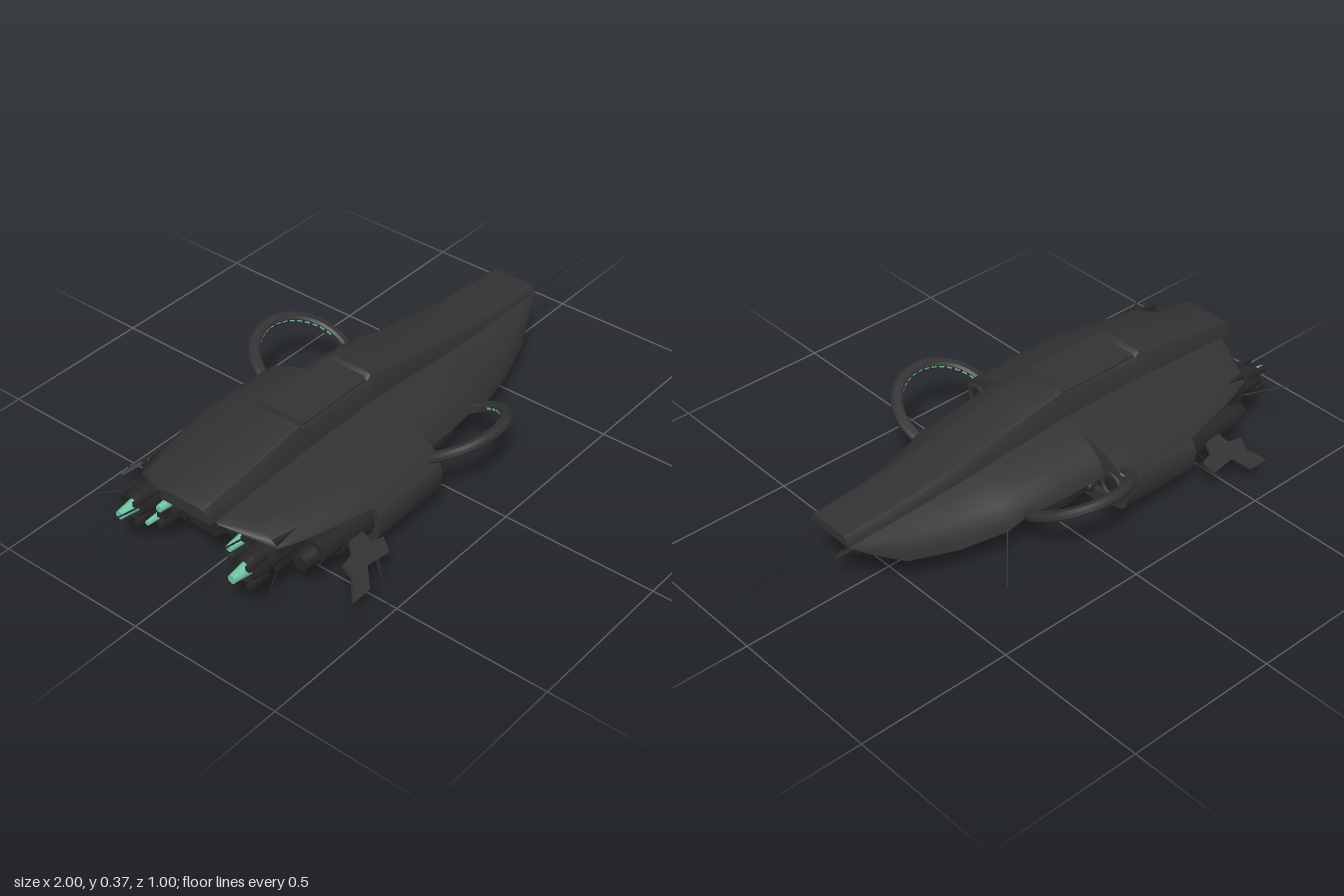
import * as THREE from 'three';
import { toCreasedNormals } from 'three/addons/utils/BufferGeometryUtils.js';

const mat = (name, color) => new THREE.MeshStandardMaterial({ name, color, side: THREE.DoubleSide });

// Surface through cross-sections, each a list of [x, y, z] points
function loft(sections, closed = false) {
  const n = sections[0].length, pos = sections.flat(2), idx = [];
  for (let i = 0; i < sections.length - 1; i++)
    for (let j = 0; j < (closed ? n : n - 1); j++) {
      const a = i * n + j, b = i * n + (j + 1) % n;
      idx.push(a, a + n, b, b, a + n, b + n);
    }
  if (closed) for (const s of [0, sections.length - 1])
    for (let j = 1; j < n - 1; j++)
      idx.push(s * n, s * n + (s ? j + 1 : j), s * n + (s ? j : j + 1));
  const g = new THREE.BufferGeometry();
  g.setAttribute('position', new THREE.Float32BufferAttribute(pos, 3));
  g.setIndex(idx);
  return toCreasedNormals(g, 0.6);
}

export function createModel() {
  const model = new THREE.Group();
  model.name = 'spaceship';
  const hull = mat('hull charcoal', 0x323232);
  const dark = mat('machinery black', 0x262626);
  const teal = mat('teal glow', 0x6fc3a4);

  const add = (parent, name, geo, material, p = [0, 0, 0]) => {
    const m = new THREE.Mesh(geo, material);
    m.name = name;
    m.position.set(...p);
    parent.add(m);
    return m;
  };
  // Cylinder lying along x; r0 at the rear end, r1 at the front end
  const tube = (parent, name, x0, x1, r0, r1, y, z, material, open = false) =>
    add(parent, name, new THREE.CylinderGeometry(r1, r0, x1 - x0, 20, 1, open).rotateZ(-Math.PI / 2),
      material, [(x0 + x1) / 2, y, z]);
  const box = (parent, name, x0, x1, y0, y1, z0, z1, material) =>
    add(parent, name, new THREE.BoxGeometry(x1 - x0, y1 - y0, z1 - z0), material,
      [(x0 + x1) / 2, (y0 + y1) / 2, (z0 + z1) / 2]);
  // Thin rod between two points
  const rod = (parent, name, a, b, r = 0.0028) => {
    const A = new THREE.Vector3(...a), B = new THREE.Vector3(...b), d = B.clone().sub(A);
    const m = add(parent, name, new THREE.CylinderGeometry(r * 0.7, r, d.length(), 6), dark);
    m.position.copy(A).add(B).multiplyScalar(0.5);
    m.quaternion.setFromUnitVectors(new THREE.Vector3(0, 1, 0), d.normalize());
  };

  // Central spine: [x, half width, side bottom, top]
  const spineSection = ([x, w, b, t]) => {
    const h = t - b;
    const half = [[1, 0], [0.97, 0.35], [0.9, 0.75], [0.82, 0.93], [0.7, 1]];
    return [...half.map(([u, v]) => [x, b + v * h, u * w]),
      ...half.reverse().map(([u, v]) => [x, b + v * h, -u * w])];
  };
  const spine = [[-0.79, 0.088, 0.27, 0.31], [-0.76, 0.09, 0.262, 0.32], [-0.6, 0.093, 0.27, 0.342],
    [-0.41, 0.097, 0.285, 0.373], [-0.395, 0.097, 0.285, 0.36], [-0.115, 0.097, 0.285, 0.362],
    [-0.1, 0.097, 0.285, 0.375], [0, 0.096, 0.28, 0.358], [0.2, 0.093, 0.262, 0.321],
    [0.4, 0.09, 0.248, 0.288], [0.55, 0.088, 0.242, 0.275], [0.7, 0.085, 0.236, 0.265]];
  add(model, 'spine', loft(spine.map(spineSection), true), hull);

  // Canopy panel with a pointed front edge
  const canopy = new THREE.Shape([[-0.39, -0.078], [-0.12, -0.078], [-0.1, -0.05], [-0.088, 0],
    [-0.1, 0.05], [-0.12, 0.078], [-0.39, 0.078]].map(p => new THREE.Vector2(...p)));
  add(model, 'canopy', new THREE.ExtrudeGeometry(canopy, { depth: 0.008, bevelEnabled: false })
    .rotateX(-Math.PI / 2), hull, [0, 0.358, 0]);

  // Keel under the spine: [x, half width, bottom, top]
  const keel = [[-0.72, 0.07, 0.16, 0.27], [-0.6, 0.1, 0.125, 0.27], [-0.4, 0.11, 0.105, 0.28],
    [-0.1, 0.1, 0.1, 0.28], [0.25, 0.085, 0.105, 0.26], [0.39, 0.065, 0.11, 0.245], [0.41, 0.05, 0.14, 0.24]];
  add(model, 'keel', loft(keel.map(([x, w, b, t]) => [[x, t, w], [x, b + 0.03, w], [x, b, w * 0.7],
    [x, b, -w * 0.7], [x, b + 0.03, -w], [x, t, -w]]), true), dark);

  // Nose frame, gun and sensor ball
  box(model, 'noseFrame', 0.38, 0.56, 0.145, 0.242, -0.052, 0.052, dark);
  box(model, 'nosePanel', 0.56, 0.568, 0.165, 0.228, -0.034, 0.034, hull);
  for (const s of [-1, 1]) box(model, 'noseFrameRib', 0.55, 0.58, 0.15, 0.24, s * 0.047 - 0.006, s * 0.047 + 0.006, hull);
  box(model, 'gunMount', 0.52, 0.62, 0.125, 0.155, -0.018, 0.018, dark);
  tube(model, 'gunBarrel', 0.58, 0.69, 0.012, 0.009, 0.14, 0, dark);
  rod(model, 'sensorStalk', [0.495, 0.1, 0], [0.495, 0.15, 0], 0.007);
  add(model, 'sensorBall', new THREE.SphereGeometry(0.018, 16, 12), dark, [0.495, 0.097, 0]);

  // Single nose antennae
  rod(model, 'noseAntenna', [0.55, 0.22, 0.065], [1, 0.22, 0.065]);
  rod(model, 'noseProbe', [0.5, 0.19, -0.04], [0.715, 0.19, -0.04]);

  // One side, mirrored below
  const side = new THREE.Group();
  side.name = 'leftSide';

  // Wing skin: [x, inner z, inner y, outer z, outer y]
  const wing = [[-0.765, 0.085, 0.265, 0.1, 0.26], [-0.7, 0.09, 0.268, 0.255, 0.215],
    [-0.6, 0.09, 0.275, 0.285, 0.207], [-0.4, 0.093, 0.29, 0.33, 0.2], [-0.1, 0.093, 0.292, 0.335, 0.185],
    [-0.095, 0.093, 0.292, 0.268, 0.175], [0.05, 0.091, 0.28, 0.258, 0.165], [0.19, 0.09, 0.267, 0.246, 0.165],
    [0.25, 0.089, 0.262, 0.236, 0.138], [0.4, 0.086, 0.252, 0.198, 0.13], [0.55, 0.084, 0.246, 0.15, 0.145],
    [0.64, 0.081, 0.243, 0.112, 0.195], [0.7, 0.078, 0.24, 0.083, 0.237]];
  add(side, 'wingSkin', loft(wing.map(([x, zi, yi, zo, yo]) => [0, 0.2, 0.4, 0.6, 0.78, 0.91, 1].map(t =>
    [x, yi + (yo - yi) * (0.65 * t + 0.35 * t ** 4), zi + (zo - zi) * Math.sin(t * 1.25) / Math.sin(1.25)]))), hull);

  // Side pod: hooked shell with machinery inside (outline as z, y)
  const podPts = [[0.1, 0.05], [0.22, 0.047], [0.33, 0.08], [0.347, 0.105], [0.352, 0.16], [0.34, 0.19],
    [0.3, 0.218], [0.2, 0.25], [0.2, 0.235], [0.29, 0.2], [0.325, 0.175], [0.33, 0.13], [0.315, 0.105],
    [0.22, 0.088], [0.1, 0.09], [0.094, 0.07]];
  const pod = new THREE.Shape(podPts.map(([z, y]) => new THREE.Vector2(-z, y)));
  add(side, 'podShell', toCreasedNormals(new THREE.ExtrudeGeometry(pod, { depth: 0.28, bevelEnabled: false })
    .rotateY(Math.PI / 2), 0.6), hull, [-0.39, 0, 0]);
  box(side, 'podCore', -0.4, -0.13, 0.08, 0.215, 0.1, 0.3, dark);
  tube(side, 'podTurbine', -0.6, -0.1, 0.038, 0.045, 0.155, 0.29, dark);
  add(side, 'turbineRim', new THREE.TorusGeometry(0.038, 0.008, 8, 24).rotateY(Math.PI / 2), hull, [-0.1, 0.155, 0.29]);
  tube(side, 'turbineCollar', -0.52, -0.4, 0.05, 0.055, 0.15, 0.285, dark);
  tube(side, 'turbineTail', -0.65, -0.58, 0.024, 0.034, 0.15, 0.285, dark);
  for (const z of [0.12, 0.19]) {
    tube(side, 'podPipe', -0.36, -0.11, 0.018, 0.018, 0.085, z, dark);
    add(side, 'podPipeCap', new THREE.SphereGeometry(0.018, 14, 10), dark, [-0.11, 0.085, z]);
  }

  // Long nacelle beside the keel
  tube(side, 'nacelle', -0.55, 0.25, 0.05, 0.046, 0.15, 0.145, dark);
  add(side, 'nacelleCap', new THREE.SphereGeometry(0.046, 20, 12).scale(1.6, 1, 1), dark, [0.25, 0.15, 0.145]);
  for (const x of [-0.05, 0.08, 0.2])
    add(side, 'nacelleBand', new THREE.TorusGeometry(0.047, 0.006, 6, 24).rotateY(Math.PI / 2), dark, [x, 0.15, 0.145]);
  box(side, 'rearBlock', -0.7, -0.4, 0.135, 0.235, 0.09, 0.25, dark);

  // Engines: [rear x, front x, radius, y, z]
  for (const [x0, x1, r, y, z] of [[-0.79, -0.62, 0.044, 0.175, 0.208], [-0.715, -0.55, 0.036, 0.19, 0.13],
    [-0.73, -0.6, 0.026, 0.13, 0.165]]) {
    tube(side, 'engine', x0 + 0.03, x1, r, r, y, z, dark);
    tube(side, 'engineNozzle', x0, x0 + 0.05, r * 0.8, r * 0.95, y, z, dark, true);
    tube(side, 'engineGlow', x0 - 0.045, x0 + 0.03, r * 0.3, r * 0.5, y, z, teal);
    for (let k = 0; k < 4; k++) {
      const a = k * Math.PI / 2 + Math.PI / 4;
      box(side, 'nozzleFlap', x0 - 0.015, x0 + 0.06, y + Math.sin(a) * r - 0.008, y + Math.sin(a) * r + 0.008,
        z + Math.cos(a) * r - 0.008, z + Math.cos(a) * r + 0.008, dark);
    }
  }

  // Tilted ring with a lit inner lining
  const ring = new THREE.Group();
  ring.name = 'ring';
  ring.position.set(0.03, 0.187, 0.285);
  ring.rotation.x = -0.45;
  const profile = [[0.142, -0.01], [0.15, -0.016], [0.168, -0.014], [0.176, -0.005], [0.176, 0.005],
    [0.168, 0.014], [0.15, 0.016], [0.142, 0.01], [0.142, -0.01]].map(p => new THREE.Vector2(...p));
  add(ring, 'ringBody', toCreasedNormals(new THREE.LatheGeometry(profile, 64), 0.6), hull);
  for (let k = 0; k < 17; k++) {
    const a = (k / 16 - 0.5) * 2.8;
    add(ring, 'ringLight', new THREE.BoxGeometry(0.016, 0.006, 0.002), teal,
      [Math.sin(a) * 0.1415, 0.003, Math.cos(a) * 0.1415]).rotation.y = a;
  }
  side.add(ring);
  // Housing where the ring enters the hull
  add(side, 'ringHousing', new THREE.CylinderGeometry(0.13, 0.14, 0.06, 32).scale(1.1, 1, 0.55), dark, [0.03, 0.15, 0.165]);

  // Drooping notched fin (outline as x, distance along the slope)
  const fin = new THREE.Shape([[-0.5, 0], [-0.52, 0.04], [-0.57, 0.05], [-0.565, 0.09], [-0.61, 0.145],
    [-0.54, 0.145], [-0.5, 0.09], [-0.415, 0.1], [-0.4, 0.055], [-0.44, 0.045], [-0.45, 0]]
    .map(p => new THREE.Vector2(...p)));
  add(side, 'fin', new THREE.ExtrudeGeometry(fin, { depth: 0.01, bevelEnabled: false })
    .rotateX(Math.PI / 2 + 0.72), hull, [0, 0.162, 0.33]);

  // Antennae
  rod(side, 'rearAntenna', [-0.68, 0.2, 0.145], [-1, 0.258, 0.148]);
  rod(side, 'rearSideAntenna', [-0.66, 0.16, 0.23], [-0.825, 0.18, 0.33]);
  rod(side, 'lowAntenna', [-0.4, 0.1, 0.32], [-0.525, 0.005, 0.5]);
  rod(side, 'finAntenna', [-0.4, 0.15, 0.33], [-0.47, 0.04, 0.425]);
  rod(side, 'frontAntenna', [0.25, 0.145, 0.23], [0.322, 0.018, 0.308]);

  const right = side.clone();
  right.name = 'rightSide';
  right.scale.z = -1;
  model.add(side, right);
  return model;
}
